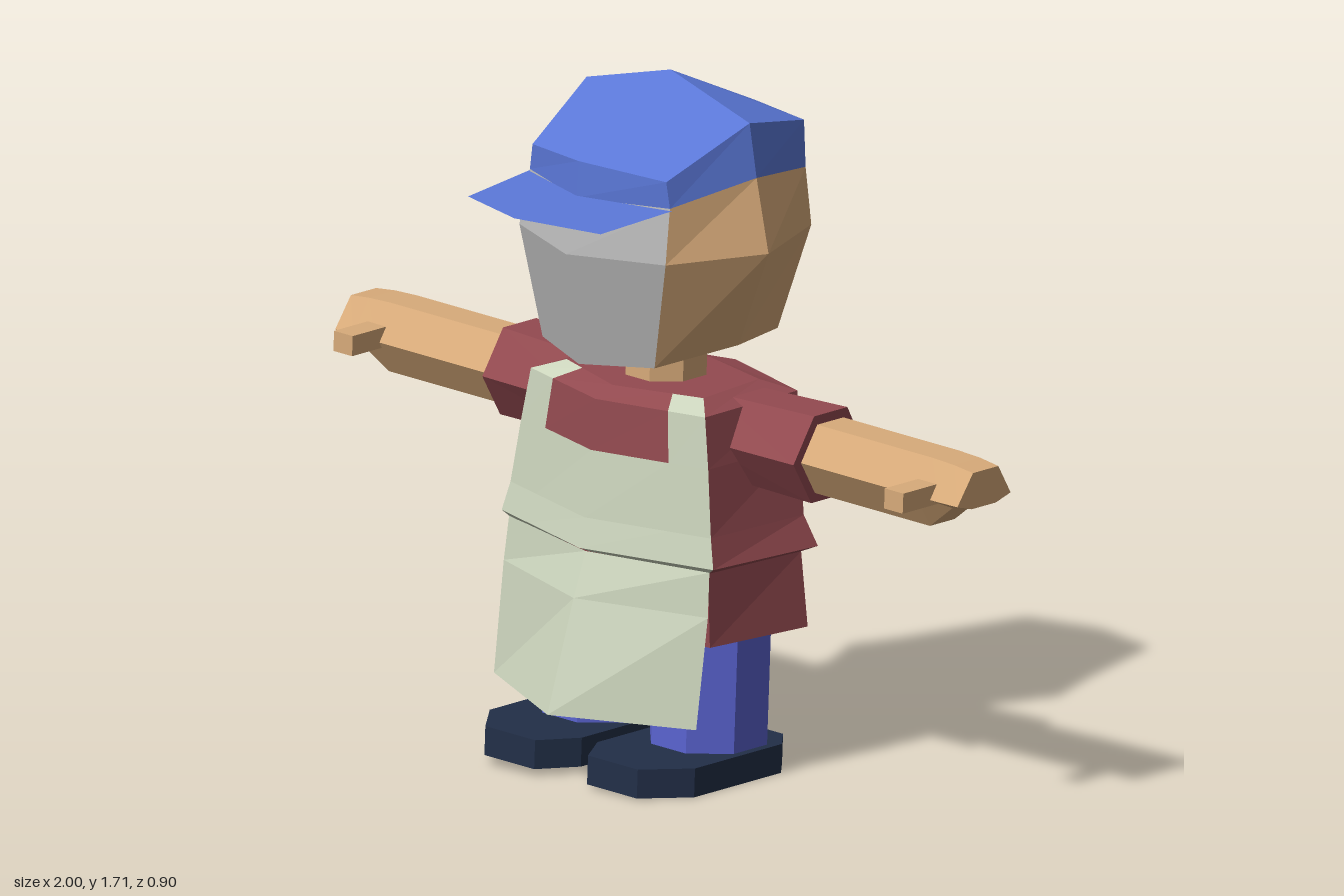
import * as THREE from 'three';

const paint = (name, color, side = THREE.FrontSide) => {
  const m = new THREE.MeshStandardMaterial({ color, side });
  m.name = name;
  return m;
};

// Faceted skin over rings of points, listed bottom to top and counter-clockwise.
// pick(band, column) returns the index of the material for each facet.
function loft(name, rings, materials, { pick = () => 0, low, high, closed = true } = {}) {
  const lists = materials.map(() => []);
  const n = rings[0].length, cols = closed ? n : n - 1;
  const middle = (r) => [0, 1, 2].map((k) => r.reduce((s, p) => s + p[k], 0) / n);
  for (let i = 0; i < rings.length - 1; i++) {
    for (let j = 0; j < cols; j++) {
      const k = (j + 1) % n, [a, b, c, d] = [rings[i][j], rings[i][k], rings[i + 1][k], rings[i + 1][j]];
      lists[pick(i, j)].push(...a, ...b, ...c, ...a, ...c, ...d);
    }
  }
  if (closed) {
    const bottom = rings[0], top = rings[rings.length - 1];
    const lo = low ?? middle(bottom), hi = high ?? middle(top);
    for (let j = 0; j < n; j++) {
      const k = (j + 1) % n;
      lists[0].push(...bottom[k], ...bottom[j], ...lo, ...top[j], ...top[k], ...hi);
    }
  }
  const geometry = new THREE.BufferGeometry();
  geometry.setAttribute('position', new THREE.Float32BufferAttribute(lists.flat(), 3));
  let start = 0;
  lists.forEach((l, m) => {
    geometry.addGroup(start, l.length / 3, m);
    start += l.length / 3;
  });
  geometry.computeVertexNormals();
  const mesh = new THREE.Mesh(geometry, materials.length > 1 ? materials : materials[0]);
  mesh.name = name;
  return mesh;
}

// Right-hand copy of a set of rings
const mirror = (rings) => rings.map((r) => r.map(([x, y, z]) => [-x, y, z]).reverse());

// Symmetric eight-point ring from five [x, y, z] points running front to back
const eight = (half) => [...half, ...half.slice(1, 4).reverse().map(([x, y, z]) => [-x, y, z])];

// Six-sided arm section at x, with a liftable underside
const armRing = (x, y, hy, hz, lower = hy, z = -0.03) => [
  [x, y + hy, z - hz * 0.5], [x, y + hy, z + hz * 0.45], [x, y, z + hz],
  [x, y - lower, z + hz * 0.45], [x, y - lower, z - hz * 0.45], [x, y, z - hz],
];

export function createModel() {
  const skin = paint('skin', 0xd8ab7a);
  const mask = paint('face grey', 0xb8b8b8);
  const capBlue = paint('cap blue', 0x5b78d8, THREE.DoubleSide);
  const shirt = paint('shirt red', 0x934a50);
  const cloth = paint('apron cream', 0xced7bf, THREE.DoubleSide);
  const denim = paint('trouser blue', 0x5a63d0);
  const leather = paint('shoe navy', 0x222f48);

  const figure = new THREE.Group();
  figure.name = 'figure';

  // Head: faceted, with the two front columns in grey
  const brow = eight([[0, 1.445, 0.33], [0.225, 1.45, 0.245], [0.29, 1.495, 0.01], [0.215, 1.455, -0.25], [0, 1.455, -0.31]]);
  const headRings = [
    eight([[0, 1.025, 0.3], [0.18, 1.04, 0.23], [0.25, 1.07, 0.01], [0.17, 1.05, -0.22], [0, 1.035, -0.285]]),
    eight([[0, 1.31, 0.36], [0.235, 1.315, 0.265], [0.345, 1.32, 0.02], [0.235, 1.315, -0.255], [0, 1.315, -0.36]]),
    brow,
  ];
  figure.add(loft('head', headRings, [skin, mask], {
    pick: (i, j) => (j === 0 || j === 7 ? 1 : 0), low: [0, 0.985, 0],
  }));

  // Cap: crown rising to a point, plus a thin brim
  const crown = eight([[0, 1.535, 0.325], [0.215, 1.515, 0.25], [0.262, 1.625, 0.01], [0.205, 1.57, -0.25], [0, 1.565, -0.3]]);
  figure.add(loft('cap', [brow, crown], [capBlue], { high: [0, 1.7, 0.005] }));
  const brimRoot = [[-0.23, 1.445, 0.24], [0, 1.45, 0.33], [0.23, 1.445, 0.24]];
  const brimTip = [[-0.213, 1.43, 0.478], [0, 1.437, 0.55], [0.213, 1.43, 0.478]];
  figure.add(loft('capBrim', [brimTip, brimRoot], [capBlue], { closed: false }));

  const body = new THREE.Group();
  body.name = 'body';
  body.position.z = -0.015;
  figure.add(body);

  // Neck
  const disc = (x, y, z, rx, rz) => Array.from({ length: 8 }, (_, i) => {
    const a = (i + 0.5) * Math.PI / 4;
    return [x + rx * Math.sin(a), y, z + rz * Math.cos(a)];
  });
  body.add(loft('neck', [disc(0, 0.92, 0, 0.1, 0.11), disc(0, 1.03, 0, 0.1, 0.11)], [skin]));

  // Torso ring: front ridge, neckline points, front corners, back corners, back ridge
  const torsoRing = (y, front, cx, cz, bx, bz, back) => {
    const t = 0.66;
    return eight([
      [0, y, front], [cx * t, y, front + (cz - front) * t], [cx, y, cz], [bx, y, bz], [0, y, back],
    ]);
  };
  const torsoRings = [
    torsoRing(0.36, 0.23, 0.32, 0.17, 0.355, -0.14, -0.235),
    torsoRing(0.545, 0.25, 0.315, 0.18, 0.335, -0.13, -0.215),
    torsoRing(0.562, 0.29, 0.34, 0.19, 0.37, -0.15, -0.255),
    torsoRing(0.635, 0.275, 0.322, 0.182, 0.335, -0.135, -0.22),
    torsoRing(0.8, 0.26, 0.3, 0.175, 0.3, -0.15, -0.235),
    torsoRing(0.925, 0.25, 0.28, 0.17, 0.275, -0.165, -0.25),
    torsoRing(0.948, 0.19, 0.22, 0.11, 0.2, -0.11, -0.16),
  ];
  // Apron covers the front columns above the waist, leaving a red neckline
  const isApron = (i, j) => {
    const strap = j === 1 || j === 6, bib = j === 0 || j === 7;
    return (strap && i >= 1) || (bib && i >= 1 && i < 4);
  };
  body.add(loft('shirtAndBib', torsoRings, [shirt, cloth], { pick: (i, j) => (isApron(i, j) ? 1 : 0) }));

  // Apron skirt flaring forward below the waist
  const skirtRow = (y, front, x, z) => [[-x, y, z], [0, y, front], [x, y, z]];
  body.add(loft('apronSkirt', [
    skirtRow(0.165, 0.385, 0.325, 0.215),
    skirtRow(0.44, 0.305, 0.328, 0.19),
    skirtRow(0.55, 0.268, 0.322, 0.183),
  ], [cloth], { closed: false }));

  // Arms, legs and shoes, mirrored left and right
  const sleeve = [armRing(0.17, 0.835, 0.1, 0.12), armRing(0.5, 0.84, 0.108, 0.125)];
  const arm = [
    armRing(0.45, 0.84, 0.085, 0.098), armRing(0.87, 0.84, 0.085, 0.098),
    armRing(0.94, 0.84, 0.082, 0.098, 0.025), armRing(1.0, 0.84, 0.075, 0.095, 0.015),
  ];
  const leg = [disc(0.175, 0.05, 0, 0.146, 0.155), disc(0.175, 0.42, 0, 0.146, 0.155)];
  const sole = (y) => [
    [-0.09, 0.33], [0.07, 0.33], [0.155, 0.22], [0.155, -0.09],
    [0.1, -0.155], [-0.1, -0.155], [-0.15, -0.09], [-0.15, 0.23],
  ].map(([x, z]) => [x + 0.175, y, z]);
  for (const side of ['left', 'right']) {
    const s = side === 'left' ? 1 : -1;
    const place = (rings) => (s > 0 ? rings : mirror(rings));
    body.add(
      loft(side + 'Sleeve', place(sleeve), [shirt]),
      loft(side + 'Arm', place(arm), [skin]),
      loft(side + 'Leg', place(leg), [denim]),
      loft(side + 'Shoe', place([sole(0), sole(0.072)]), [leather]),
    );
    const thumb = new THREE.Mesh(new THREE.BoxGeometry(0.06, 0.05, 0.14), skin);
    thumb.name = side + 'Thumb';
    thumb.position.set(s * 0.885, 0.85, 0.095);
    body.add(thumb);
  }

  // The figure stands turned a little and leaning slightly to its left
  figure.rotation.set(0, THREE.MathUtils.degToRad(9.8), THREE.MathUtils.degToRad(-2.5), 'YXZ');
  figure.position.set(-0.03, 0.017, -0.09);
  const model = new THREE.Group();
  model.name = 'model';
  model.add(figure);
  return model;
}
